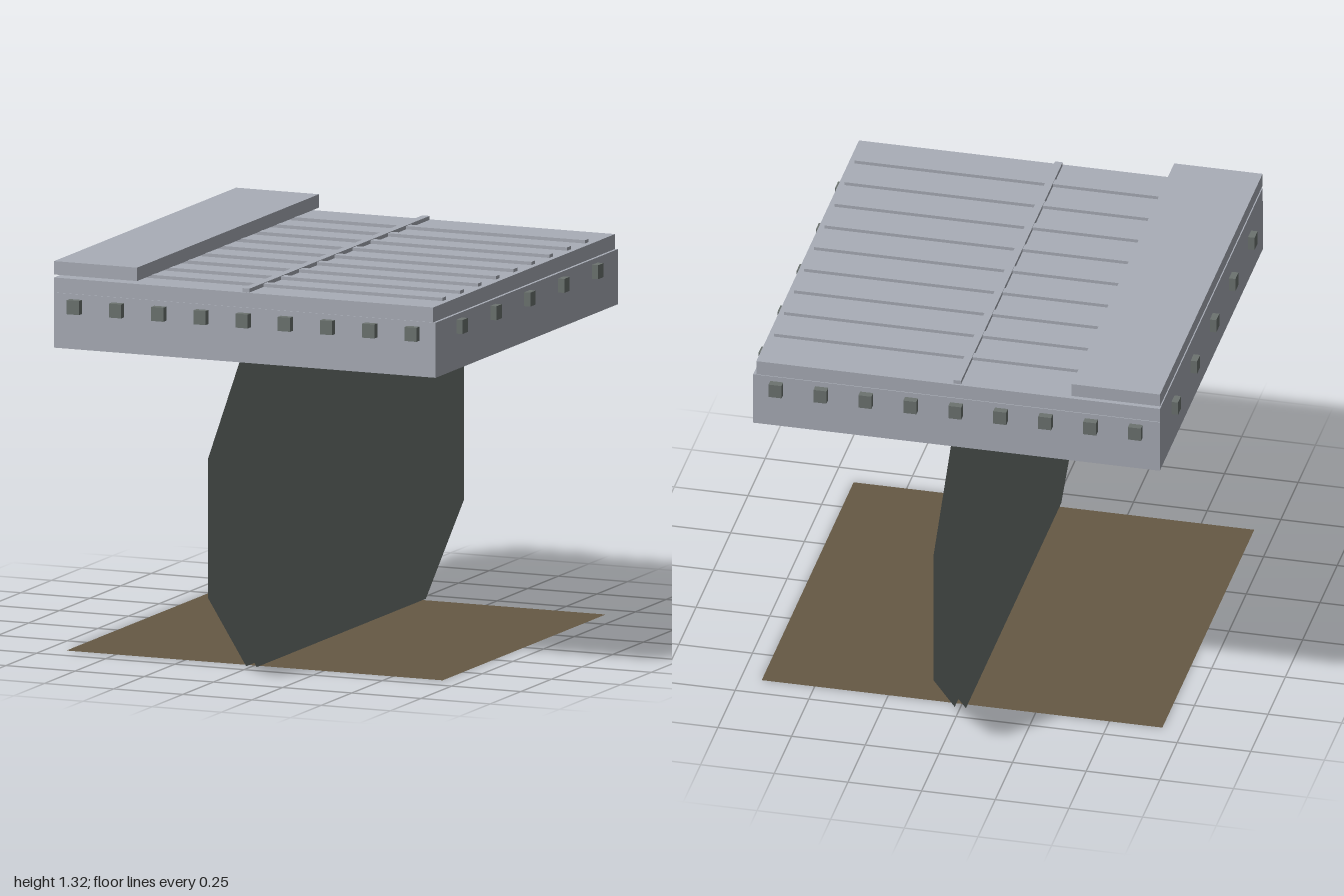
import * as THREE from 'three';

export function createModel() {
  const model = new THREE.Group();
  const mat = (name, color, side = THREE.FrontSide) => {
    const m = new THREE.MeshStandardMaterial({ color, side });
    m.name = name;
    return m;
  };
  const grey = mat('deckGrey', 0xa9adb7);
  const green = mat('greyGreen', 0x6c7370, THREE.DoubleSide);
  const brown = mat('groundBrown', 0x665944, THREE.DoubleSide);

  const add = (name, geo, material, parent = model) => {
    const mesh = new THREE.Mesh(geo, material);
    mesh.name = name;
    parent.add(mesh);
    return mesh;
  };
  // Box given by its minimum and maximum on each axis
  const box = (name, [x0, x1], [y0, y1], [z0, z1], material, parent) => {
    const geo = new THREE.BoxGeometry(x1 - x0, y1 - y0, z1 - z0);
    geo.translate((x0 + x1) / 2, (y0 + y1) / 2, (z0 + z1) / 2);
    return add(name, geo, material, parent);
  };
  const group = (name) => {
    const g = new THREE.Group();
    g.name = name;
    model.add(g);
    return g;
  };

  // Flat ground sheet
  add('groundSheet', new THREE.PlaneGeometry(1.36, 1.33).rotateX(-Math.PI / 2), brown);

  // Two parallel eight-sided sheets standing under the deck
  const outline = [[0.69, 0], [1, 0.28], [1, 0.75], [0.69, 1.09]];
  const points = [...outline, ...outline.map(([z, y]) => [-z, y]).reverse()];
  const octagon = new THREE.Shape(points.map(([z, y]) => new THREE.Vector2(z, y)));
  for (const x of [-0.019, 0.019]) {
    const sheet = add('supportSheet', new THREE.ShapeGeometry(octagon).rotateY(-Math.PI / 2), green);
    sheet.position.x = x;
  }

  // Rail holding the sheets
  box('supportRail', [-0.05, 0.05], [1.075, 1.105], [-0.7, 0.7], green);

  // Hollow skirt, open at the bottom
  const skirt = new THREE.Shape();
  const rect = (path, x, z) => path.moveTo(-x, -z).lineTo(x, -z).lineTo(x, z).lineTo(-x, z).closePath();
  rect(skirt, 0.69, 0.745);
  const hole = new THREE.Path();
  rect(hole, 0.65, 0.705);
  skirt.holes.push(hole);
  const skirtGeo = new THREE.ExtrudeGeometry(skirt, { depth: 0.185, bevelEnabled: false });
  add('deckSkirt', skirtGeo.rotateX(-Math.PI / 2).translate(0, 1.03, 0), grey);

  // Deck slab and the raised board along one side
  box('deckSlab', [-0.69, 0.68], [1.215, 1.265], [-0.742, 0.742], grey);
  box('raisedBoard', [-0.69, -0.39], [1.275, 1.32], [-0.742, 0.742], grey);

  // Cross slats and the centre strip
  const slats = group('deckSlats');
  for (let i = 0; i < 9; i++) {
    const z = -0.557 + i * 0.1455;
    box('slat', [-0.665, 0.66], [1.26, 1.276], [z - 0.015, z + 0.015], grey, slats);
  }
  box('centreStrip', [-0.013, 0.013], [1.26, 1.278], [-0.735, 0.735], grey, slats);

  // Small lugs around the skirt
  const lugs = group('lugs');
  for (const s of [-1, 1]) {
    for (let i = -4; i <= 4; i++) {
      const lug = add('endLug', new THREE.BoxGeometry(0.044, 0.047, 0.05), green, lugs);
      lug.position.set(i * 0.1525, 1.174, s * 0.745);
    }
    for (let i = -2; i <= 2; i++) {
      const lug = add('sideLug', new THREE.BoxGeometry(0.05, 0.047, 0.044), green, lugs);
      lug.position.set(s * 0.687, 1.174, i * 0.277);
    }
  }
  return model;
}
